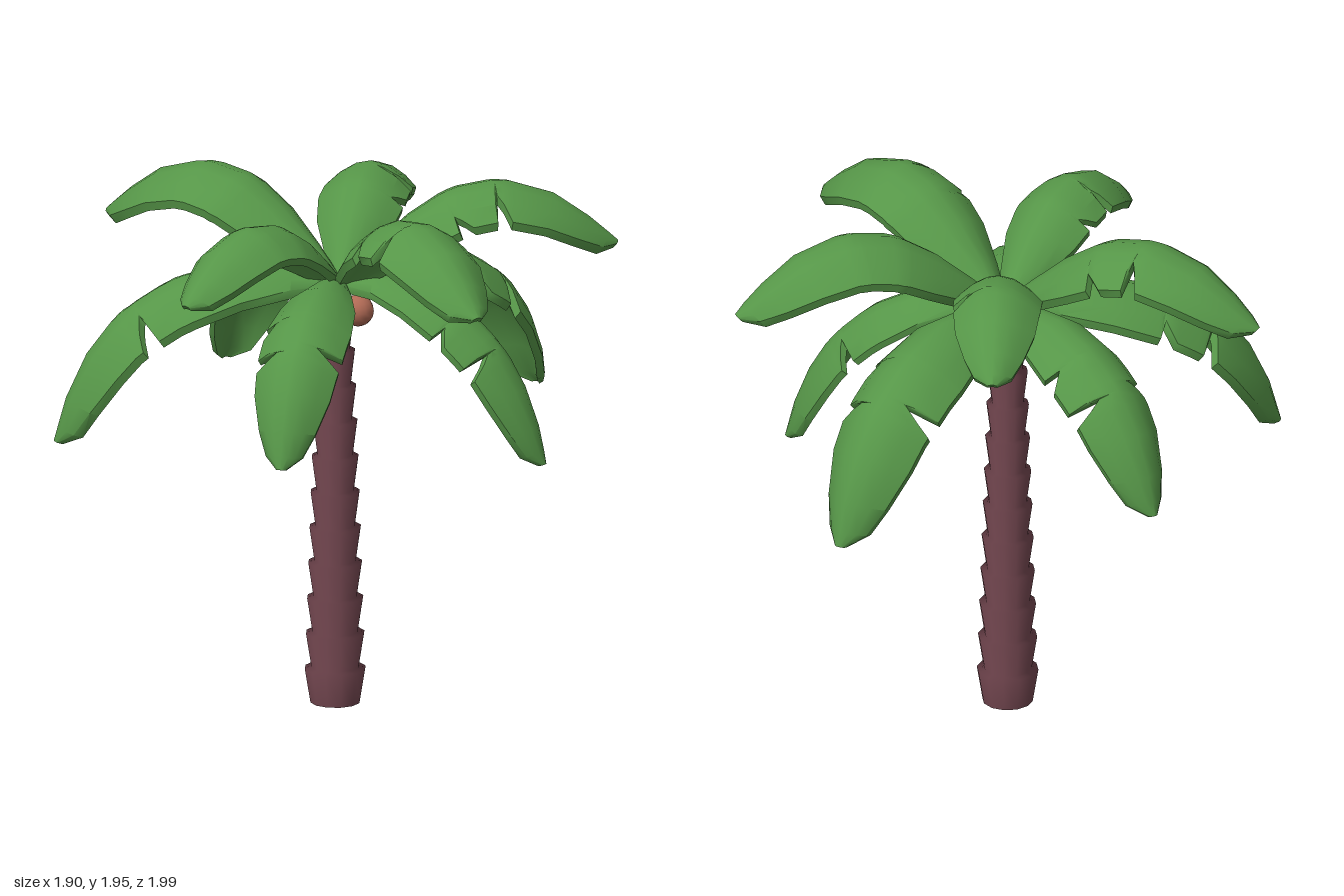
import * as THREE from 'three';
import { toCreasedNormals } from 'three/addons/utils/BufferGeometryUtils.js';

const material = (name, color) => {
  const m = new THREE.MeshStandardMaterial({ color });
  m.name = name;
  return m;
};

const CROWN = new THREE.Vector3(-0.08, 1.6, 0);

// Per leaf kind: ridge line [distance from crown, height], arch depth,
// and the notches [position, depth] on each side
const KINDS = {
  upper: {
    ridge: [[0, 0], [0.15, 0.14], [0.3, 0.26], [0.45, 0.33], [0.62, 0.34], [0.8, 0.28], [0.92, 0.19], [1.02, 0.1]],
    arch: 0.58,
    plus: [[0.4, 0.05], [0.56, 0.09]],
    minus: [],
  },
  lower: {
    ridge: [[0, 0], [0.15, 0.04], [0.33, 0.06], [0.5, 0.03], [0.68, -0.05], [0.85, -0.19], [0.96, -0.38], [1.02, -0.58]],
    arch: 0.64,
    plus: [[0.44, 0.05], [0.6, 0.1]],
    minus: [[0.57, 0.1]],
  },
};

// Outline: [position along ridge, half width]
const OUTLINE = [[0, 0.03], [0.13, 0.1], [0.28, 0.165], [0.42, 0.187], [0.58, 0.185], [0.75, 0.168], [0.88, 0.125], [0.96, 0.08], [1, 0.02]];

function fullWidth(t) {
  let i = 1;
  while (i < OUTLINE.length - 1 && OUTLINE[i][0] < t) i++;
  const [t0, w0] = OUTLINE[i - 1], [t1, w1] = OUTLINE[i];
  return w0 + (w1 - w0) * (t - t0) / (t1 - t0);
}

// Sharp cut on the inner side, slow recovery toward the tip
function notchDepth(t, notches) {
  return notches.reduce((sum, [n, depth]) => {
    const d = t - n;
    return sum + depth * Math.max(0, d < 0 ? 1 + d / 0.01 : 1 - d / 0.05);
  }, 0);
}

// Arched, thick leaf swept from the crown to a tip
function leafGeometry(kind, tipX, tipZ, droop = 0, bow = 0) {
  const { ridge, arch, plus, minus } = KINDS[kind];
  const dx = tipX - CROWN.x, dz = tipZ - CROWN.z;
  const length = Math.hypot(dx, dz), s = length / 1.02;
  const dir = new THREE.Vector3(dx / length, 0, dz / length);
  const side = new THREE.Vector3(-dir.z, 0, dir.x);
  const curve = new THREE.CatmullRomCurve3(ridge.map(([r, y]) =>
    dir.clone().multiplyScalar(r * s)
      .addScaledVector(side, bow * Math.sin(Math.PI * r / 1.02))
      .add(new THREE.Vector3(0, y * s - droop * r * r, 0)).add(CROWN)));

  const stations = [...new Set([
    ...OUTLINE.map((o) => o[0]),
    ...[...plus, ...minus].flatMap(([n]) => [n - 0.01, n, n + 0.05]),
  ].map((t) => +t.toFixed(3)))].sort((a, b) => a - b);

  const across = [-1, -0.7, -0.35, 0, 0.35, 0.7, 1];
  const M = across.length * 2;
  const pos = [], index = [];
  for (const t of stations) {
    const p = curve.getPointAt(t);
    const normal = new THREE.Vector3().crossVectors(side, curve.getTangentAt(t)).normalize();
    const full = fullWidth(t) * s;
    const thick = (t > 0.98 ? 0.02 : 0.04) * s;
    const section = (u, lift) => {
      const x = u * (full - notchDepth(t, u > 0 ? plus : minus) * s);
      const drop = arch * full * Math.pow(Math.abs(x) / full, 1.9);
      const q = p.clone().addScaledVector(side, x).addScaledVector(normal, lift - drop);
      pos.push(q.x, q.y, q.z);
    };
    across.forEach((u) => section(u, 0));
    // underside is a little flatter than the top
    [...across].reverse().forEach((u) => section(u * 0.96, -thick - 0.08 * full * (1 - u * u)));
  }
  const last = (stations.length - 1) * M;
  for (let r = 0; r < last; r += M) {
    for (let j = 0; j < M; j++) {
      const k = (j + 1) % M;
      index.push(r + j, r + k, r + M + j, r + k, r + M + k, r + M + j);
    }
  }
  // end caps, stitched top to underside
  for (let j = 0; j < across.length - 1; j++) {
    const a = j, b = j + 1, c = M - 2 - j, d = M - 1 - j;
    index.push(last + a, last + b, last + c, last + a, last + c, last + d);
    index.push(a, c, b, a, d, c);
  }
  const g = new THREE.BufferGeometry();
  g.setAttribute('position', new THREE.Float32BufferAttribute(pos, 3));
  g.setIndex(index);
  return toCreasedNormals(g, 0.9);
}

// Trunk profile: stacked rings, each flaring upward, softly shaded at the steps
function trunkGeometry() {
  const RINGS = 12, H = 0.1333, profile = [];
  for (let i = 0; i < RINGS; i++) {
    const f = i / (RINGS - 1), top = 0.113 - 0.048 * f;
    profile.push(new THREE.Vector2(top - 0.021 + 0.007 * f, H * i));
    profile.push(new THREE.Vector2(top, H * (i + 1) - 0.006));
  }
  return new THREE.LatheGeometry(profile, 12);
}

export function createModel() {
  const green = material('leaf green', 0x569648);
  const bark = material('bark brown', 0x72464f);
  const shell = material('coconut brown', 0xb06a55);

  const model = new THREE.Group();
  model.name = 'palmTree';
  const add = (parent, name, geometry, mat, x = 0, y = 0, z = 0) => {
    const mesh = new THREE.Mesh(geometry, mat);
    mesh.name = name;
    mesh.position.set(x, y, z);
    parent.add(mesh);
    return mesh;
  };

  // Trunk with a closed foot
  add(model, 'trunk', trunkGeometry(), bark, -0.086, 0, -0.016);
  add(model, 'trunkFoot', new THREE.CircleGeometry(0.092, 12), bark, -0.086, 0, -0.016).rotation.x = Math.PI / 2;

  // Coconuts under the crown
  const coconuts = new THREE.Group();
  coconuts.name = 'coconuts';
  model.add(coconuts);
  [[-0.165, 1.49, 0.05], [-0.175, 1.455, -0.07], [-0.02, 1.49, -0.107], [-0.025, 1.475, 0.04]].forEach(([x, y, z]) =>
    add(coconuts, 'coconut', new THREE.SphereGeometry(0.058, 14, 10), shell, x, y, z));

  // Leaves: kind, tip x, tip z, extra droop, sideways bow
  const leaves = new THREE.Group();
  leaves.name = 'leaves';
  model.add(leaves);
  [
    ['upper', -0.31, -1.0],
    ['upper', 0.64, -0.51],
    ['upper', 0.77, 0.57],
    ['upper', -0.3, 0.99],
    ['upper', -0.95, 0.12],
    ['lower', 0.15, -0.88],
    ['lower', 0.95, -0.04],
    ['lower', 0.27, 0.73, 0.15],
    ['lower', -0.8, 0.47],
    ['lower', -0.9, -0.64, 0, 0.035],
  ].forEach(([kind, ...spec]) => add(leaves, kind + 'Leaf', leafGeometry(kind, ...spec), green));

  return model;
}
